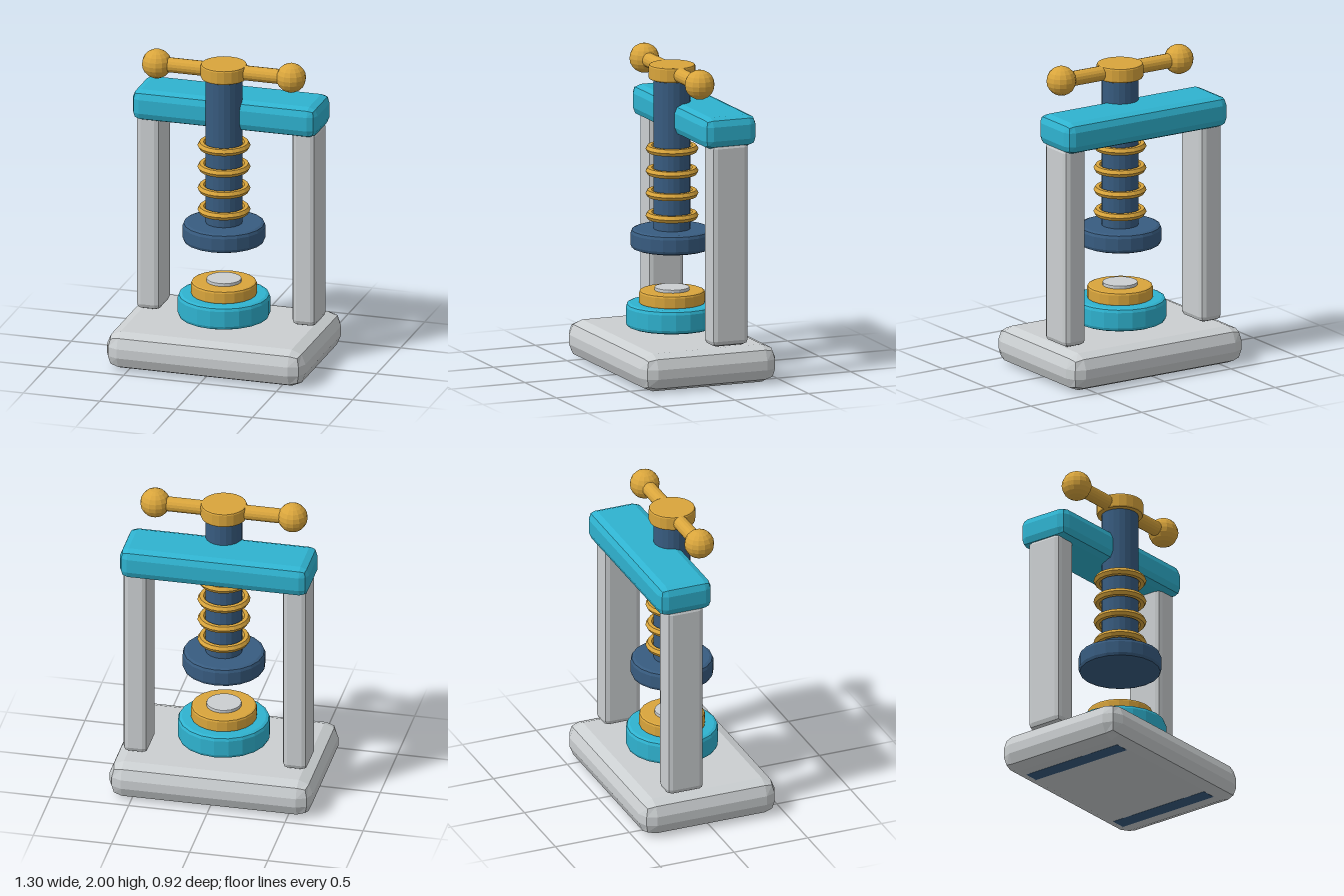
import * as THREE from 'three';
import { RoundedBoxGeometry } from 'three/addons/geometries/RoundedBoxGeometry.js';

const SIDES = 20;

function makeMaterial(name, color) {
  const m = new THREE.MeshStandardMaterial({ color });
  m.name = name;
  return m;
}

// Give every facet its own normal
function faceted(geometry) {
  const g = geometry.index ? geometry.toNonIndexed() : geometry;
  g.computeVertexNormals();
  return g;
}

// Upright disc or rod with chamfered rims
function bevelledDisc(radius, bottom, top, bevel) {
  const profile = [
    [0, bottom], [radius - bevel, bottom], [radius - bevel * 0.29, bottom + bevel * 0.29],
    [radius, bottom + bevel], [radius, top - bevel],
    [radius - bevel * 0.29, top - bevel * 0.29], [radius - bevel, top], [0, top],
  ].map(([r, y]) => new THREE.Vector2(r, y));
  return new THREE.LatheGeometry(profile, SIDES);
}

export function createModel() {
  const group = new THREE.Group();
  group.name = 'screwPress';

  const silver = makeMaterial('silver', 0xcbcfd1);
  const teal = makeMaterial('teal', 0x2fb3d0);
  const gold = makeMaterial('gold', 0xd9a53c);
  const navy = makeMaterial('navy', 0x385c80);

  const add = (name, geometry, material, x = 0, y = 0, z = 0) => {
    const mesh = new THREE.Mesh(faceted(geometry), material);
    mesh.name = name;
    mesh.position.set(x, y, z);
    group.add(mesh);
    return mesh;
  };

  // Frame: base plate, two posts and the crossbeam behind the screw
  add('base', new RoundedBoxGeometry(1.3, 0.24, 0.92, 1, 0.09), silver, 0, 0.121, 0);
  add('crossbeam', new RoundedBoxGeometry(1.21, 0.2, 0.36, 1, 0.055), teal, 0, 1.615, -0.15);
  for (const [side, s] of [['left', 1], ['right', -1]]) {
    add(side + 'Post', new RoundedBoxGeometry(0.16, 1.3, 0.25, 1, 0.035), silver, s * 0.51, 0.9, -0.15);
    add(side + 'FootStrip', new THREE.BoxGeometry(0.1, 0.04, 0.72), navy, s * 0.44, 0.02, 0);
  }

  // Stacked anvil
  add('anvilCup', bevelledDisc(0.29, 0.28, 0.43, 0.025), teal);
  add('anvilRing', bevelledDisc(0.207, 0.42, 0.51, 0.015), gold);
  add('anvilInsert', bevelledDisc(0.11, 0.5, 0.53, 0.004), silver);

  // Screw, presser and thread rings
  add('screw', new THREE.CylinderGeometry(0.116, 0.116, 1.02, SIDES), navy, 0, 1.37, 0);
  add('presser', bevelledDisc(0.26, 0.778, 0.903, 0.025), navy);
  for (let i = 0; i < 4; i++) {
    const ring = new THREE.TorusGeometry(0.141, 0.025, 6, SIDES);
    ring.rotateX(Math.PI / 2);
    add('threadRing' + (i + 1), ring, gold, 0, 0.987 + i * 0.142, 0);
  }

  // Turning handle
  add('handleHub', bevelledDisc(0.146, 1.858, 1.953, 0.012), gold);
  const bar = new THREE.CylinderGeometry(0.047, 0.047, 0.86, 16);
  bar.rotateZ(Math.PI / 2);
  add('handleBar', bar, gold, 0, 1.906, 0);
  for (const [side, s] of [['left', 1], ['right', -1]]) {
    add(side + 'HandleKnob', new THREE.SphereGeometry(0.094, 14, 10), gold, s * 0.44, 1.906, 0);
  }

  return group;
}
